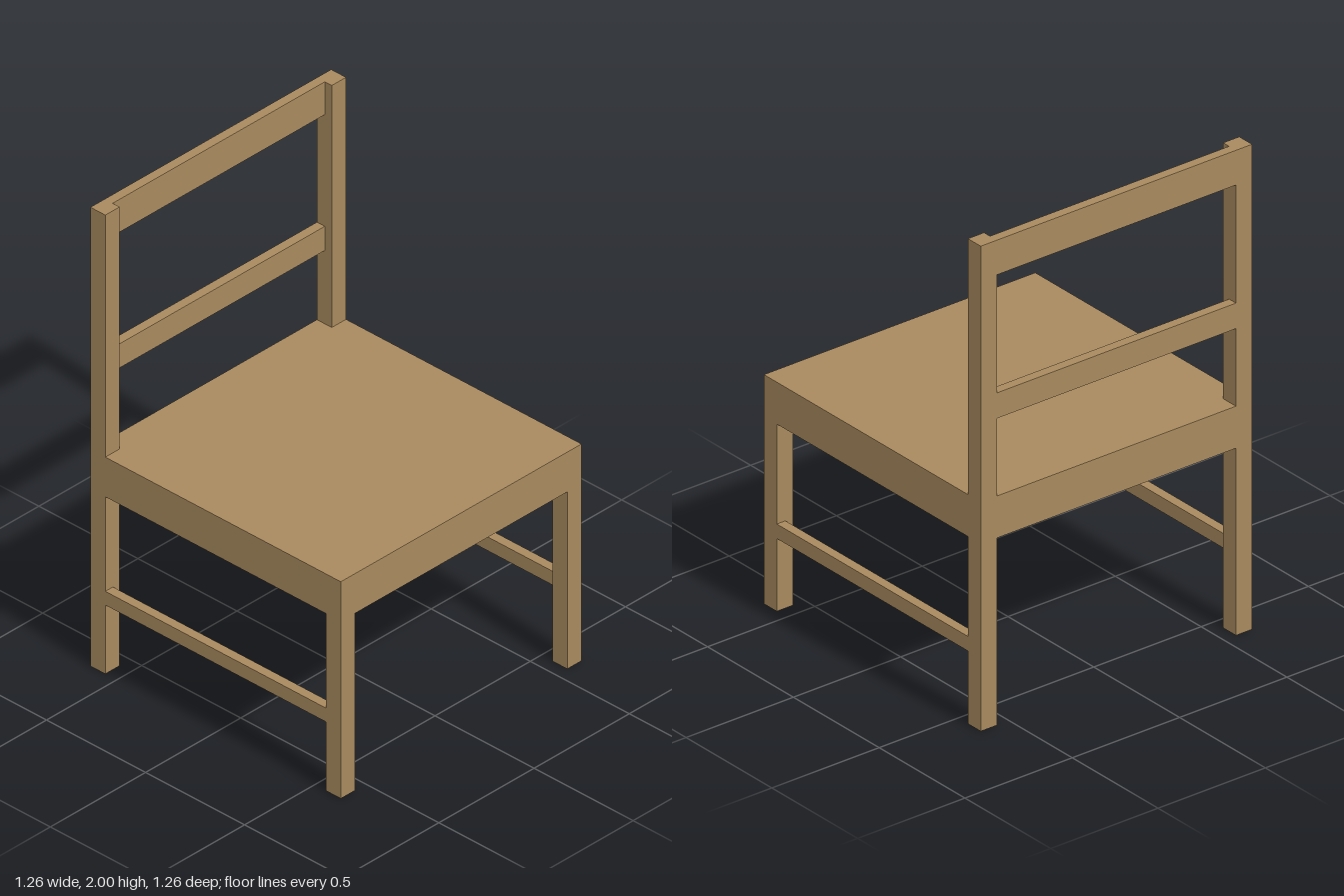
import * as THREE from 'three';

export function createModel() {
  const group = new THREE.Group();
  group.name = 'chair';
  const wood = new THREE.MeshStandardMaterial({ color: 0xa98a5e });
  wood.name = 'wood';

  const H = 0.632;        // half width and half depth
  const LEG = 0.075;      // square leg section
  const T = 0.04;         // board thickness
  const SEAT = 0.945;     // top of the seat
  const UNDER = SEAT - T; // underside of the seat board
  const APRON = 0.772;    // bottom of the aprons
  const inner = H - LEG;  // half span between legs

  // Box given by its lower and upper corners
  function board(name, x0, x1, y0, y1, z0, z1) {
    const geometry = new THREE.BoxGeometry(x1 - x0, y1 - y0, z1 - z0);
    const mesh = new THREE.Mesh(geometry, wood);
    mesh.name = name;
    mesh.position.set((x0 + x1) / 2, (y0 + y1) / 2, (z0 + z1) / 2);
    group.add(mesh);
  }

  // Seat board, notched around the back posts
  const outline = new THREE.Shape([
    [-H, -H], [H, -H], [H, inner], [inner, inner],
    [inner, H], [-inner, H], [-inner, inner], [-H, inner],
  ].map(([x, y]) => new THREE.Vector2(x, y)));
  const seatGeometry = new THREE.ExtrudeGeometry(outline, { depth: T, bevelEnabled: false });
  seatGeometry.rotateX(-Math.PI / 2);
  const seat = new THREE.Mesh(seatGeometry, wood);
  seat.name = 'seat';
  seat.position.y = UNDER;
  group.add(seat);

  // Legs, side aprons and side stretchers, mirrored left and right
  for (const [side, s] of [['left', 1], ['right', -1]]) {
    const pair = (name, a, b, ...rest) =>
      board(side + name, Math.min(s * a, s * b), Math.max(s * a, s * b), ...rest);
    pair('FrontLeg', inner, H, 0, UNDER, inner, H);
    pair('BackPost', inner, H, 0, 2, -H, -inner);
    pair('Apron', H - T, H, APRON, UNDER, -inner, inner);
    pair('Stretcher', H - T, H, 0.3, 0.36, -inner, inner);
  }

  // Front and back aprons
  board('frontApron', -inner, inner, APRON, UNDER, H - T, H);
  board('backApron', -inner, inner, APRON, UNDER, -H, -H + T);

  // Backrest rails, flush with the rear of the posts
  board('middleRail', -inner, inner, 1.265, 1.37, -H, -H + T);
  board('topRail', -inner, inner, 1.857, 2, -H, -H + T);

  return group;
}
